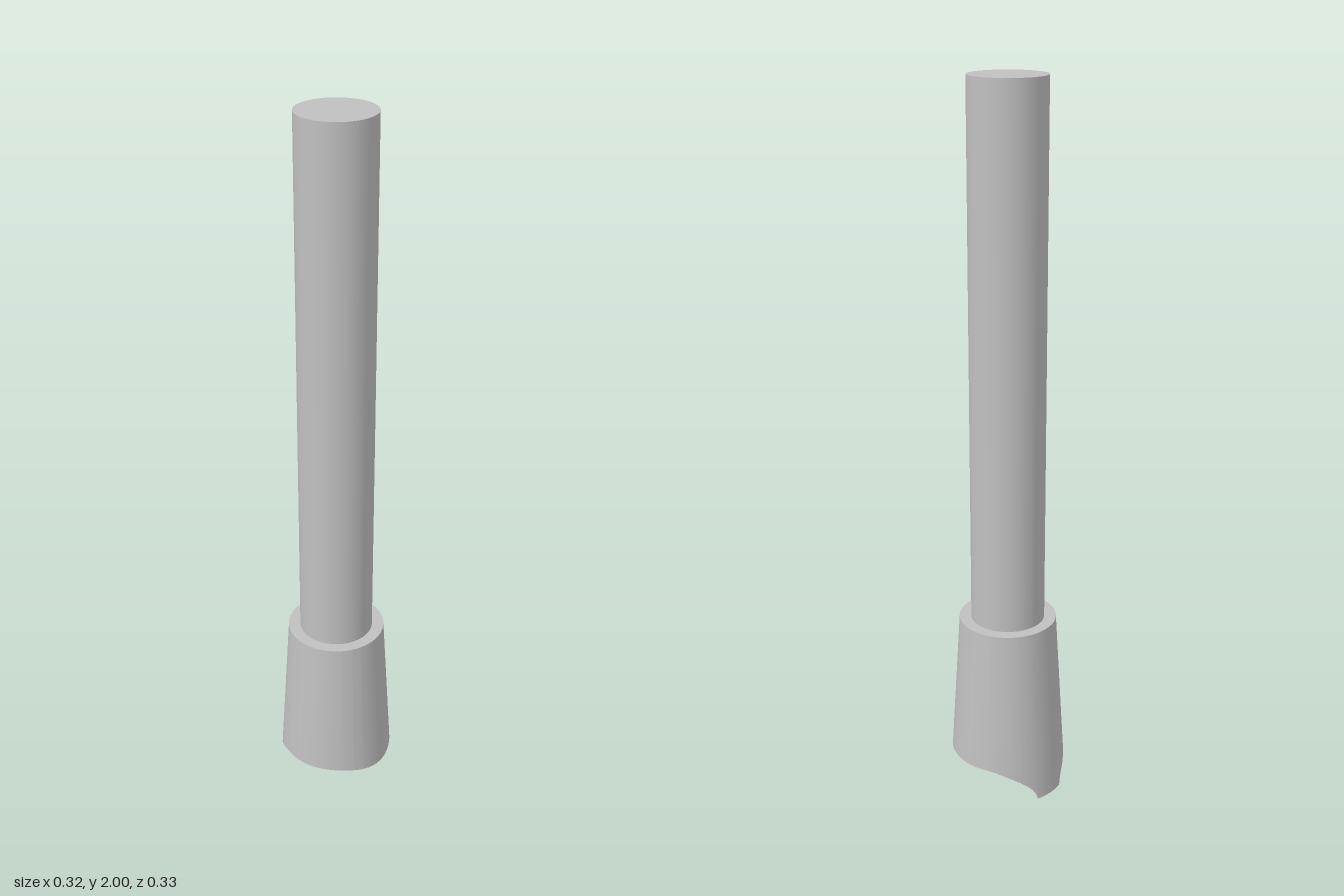
import * as THREE from 'three';
import { toCreasedNormals } from 'three/addons/utils/BufferGeometryUtils.js';

const TOP = 0.52;        // height of the collar's upper rim
const FRONT = 0.1628;    // front end of the lower rim
const HEEL = -0.161;     // where the hooked lip reaches the ground
const BACK = -0.1675;    // outer edge of the lip

// underside height along z, swept straight across x
const UNDERSIDE = [
  [FRONT, 0.078], [0.15, 0.085], [0.135, 0.091], [0.11, 0.097], [0.08, 0.1], [-0.06, 0.1],
  [-0.08, 0.097], [-0.1, 0.089], [-0.12, 0.077], [-0.135, 0.064], [-0.147, 0.048],
  [-0.154, 0.033], [-0.158, 0.018], [HEEL, 0], [BACK, 0],
];

const coneRadius = (y) => 0.1675 - 0.0605 * y;

function undersideHeight(z) {
  for (let i = 1; i < UNDERSIDE.length; i++) {
    const [z0, y0] = UNDERSIDE[i - 1];
    const [z1, y1] = UNDERSIDE[i];
    if (z >= z1) return y0 + ((y1 - y0) * (z - z0)) / (z1 - z0);
  }
  return 0;
}

function buildGeometry(positions, index) {
  const g = new THREE.BufferGeometry();
  g.setAttribute('position', new THREE.Float32BufferAttribute(positions, 3));
  g.setIndex(index);
  g.computeVertexNormals();
  return g;
}

// right half of the lower rim, front to back, where the underside meets the cone
function halfRim() {
  const zs = new Set([...UNDERSIDE.map((p) => p[0]), -0.164, -0.1665]);
  for (let i = 1; i < 32; i++) {
    const z = FRONT * Math.cos((i / 32) * Math.PI);
    if (z > HEEL) zs.add(z);
  }
  return [...zs].sort((a, b) => b - a).map((z, i, all) => {
    const y = undersideHeight(z);
    const end = i === 0 || i === all.length - 1;
    const x = end ? 0 : Math.sqrt(Math.max(0, coneRadius(y) ** 2 - z * z));
    return new THREE.Vector3(x, y, z);
  });
}

// tapered wall between the cut lower rim and the round upper rim
function wallGeometry(half) {
  const left = half.slice(1, -1).reverse().map((p) => new THREE.Vector3(-p.x, p.y, p.z));
  const rim = [...half, ...left];
  const pos = [];
  const idx = [];
  const r = coneRadius(TOP);
  rim.forEach((p, i) => {
    const a = Math.atan2(p.x, p.z);
    pos.push(p.x, p.y, p.z, r * Math.sin(a), TOP, r * Math.cos(a));
    const b = i * 2;
    const c = ((i + 1) % rim.length) * 2;
    idx.push(b, c, c + 1, b, c + 1, b + 1);
  });
  return buildGeometry(pos, idx);
}

// curved underside made of strips across x
function undersideGeometry(half) {
  const pos = [];
  const idx = [];
  half.forEach((p, i) => {
    pos.push(-p.x, p.y, p.z, p.x, p.y, p.z);
    if (i === half.length - 1) return;
    const l = i * 2;
    idx.push(l, l + 3, l + 1, l, l + 2, l + 3);
  });
  return toCreasedNormals(buildGeometry(pos, idx), 0.6);
}

export function createModel() {
  const group = new THREE.Group();
  const grey = new THREE.MeshStandardMaterial({ color: 0xc0c0c0 });
  grey.name = 'plainGrey';

  const add = (name, geometry, parent) => {
    const mesh = new THREE.Mesh(geometry, grey);
    mesh.name = name;
    parent.add(mesh);
    return mesh;
  };

  // long round shaft
  const shaft = add('shaft', new THREE.CylinderGeometry(0.103, 0.103, 2 - TOP, 64), group);
  shaft.position.y = (2 + TOP) / 2;

  // flared collar with a hooked lip at the back
  const collar = new THREE.Group();
  collar.name = 'collar';
  group.add(collar);
  const half = halfRim();
  add('collarWall', wallGeometry(half), collar);
  add('collarUnderside', undersideGeometry(half), collar);
  const cap = add('collarTop', new THREE.RingGeometry(0.1, coneRadius(TOP), 64), collar);
  cap.rotation.x = -Math.PI / 2;
  cap.position.y = TOP;

  return group;
}
